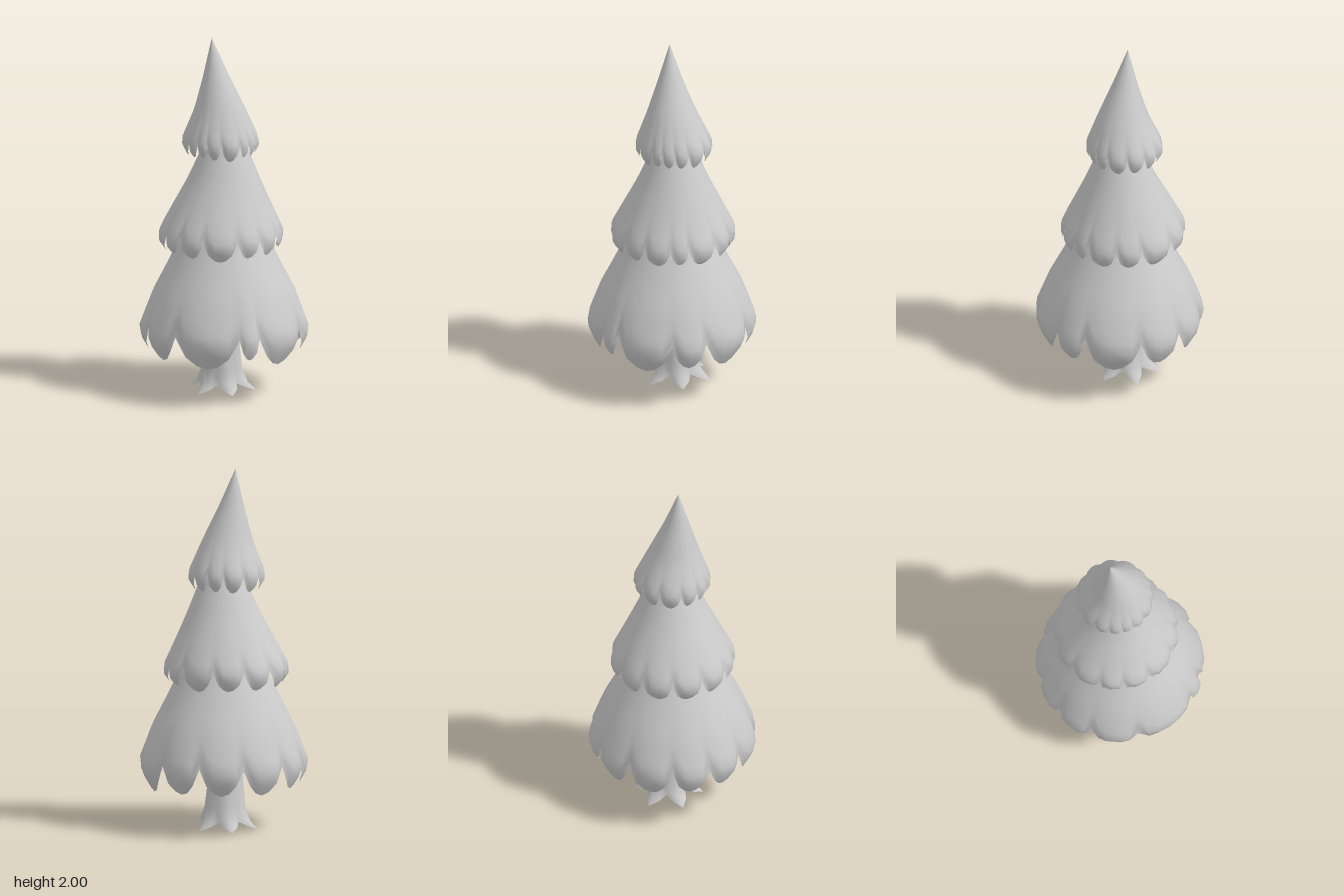
import * as THREE from 'three';

const mat = () => new THREE.MeshStandardMaterial({ color: 0xcccccc, side: THREE.DoubleSide });
const { lerp, degToRad } = THREE.MathUtils;

// Closed-loop surface: point(i, j) gives [x, y, z], rows from top to bottom
function skin(name, cols, rows, point) {
  const pos = [], idx = [];
  for (let j = 0; j <= rows; j++)
    for (let i = 0; i < cols; i++) pos.push(...point(i, j));
  for (let j = 0; j < rows; j++)
    for (let i = 0; i < cols; i++) {
      const n = (i + 1) % cols, a = j * cols, b = a + cols;
      idx.push(a + i, b + i, b + n, a + i, b + n, a + n);
    }
  const geo = new THREE.BufferGeometry();
  geo.setAttribute('position', new THREE.Float32BufferAttribute(pos, 3));
  geo.setIndex(idx);
  geo.computeVertexNormals();
  const mesh = new THREE.Mesh(geo, mat());
  mesh.name = name;
  return mesh;
}

// Piecewise interpolation of rows [y, radius, centreX, centreZ], y descending
function sample(profile, y) {
  let k = 0;
  while (k < profile.length - 2 && y < profile[k + 1][0]) k++;
  const a = profile[k], b = profile[k + 1];
  const t = (y - a[0]) / (b[0] - a[0]);
  return [1, 2, 3].map(c => lerp(a[c], b[c], t));
}

// Skirt of foliage whose hem hangs in lobes between the notch angles (degrees from +z towards +x)
function foliage(name, profile, notches, notchY, depth, dent) {
  const per = 6, rows = 14, n = notches.length, top = profile[0][0];
  const mean = 360 / n;
  return skin(name, n * per, rows, (i, j) => {
    const k = Math.floor(i / per), u = (i % per) / per;
    const a0 = notches[k], a1 = k + 1 < n ? notches[k + 1] : notches[0] + 360;
    const angle = degToRad(lerp(a0, a1, u));
    const lobe = Math.pow(Math.sin(Math.PI * u), 0.7);
    const size = Math.min(1, 0.45 + 0.45 * (a1 - a0) / mean);
    const v = j / rows;
    const y = lerp(top, notchY - depth * size * lobe, v);
    const [r, cx, cz] = sample(profile, y);
    const rr = r * (1 - dent * (1 - lobe) * v ** 5);
    return [cx + rr * Math.sin(angle), y, cz + rr * Math.cos(angle)];
  });
}

export function createModel() {
  const tree = new THREE.Group();
  tree.name = 'pineTree';

  tree.add(foliage('topFoliage', [
    [2, 0, -0.07, 0], [1.78, 0.073, -0.045, 0], [1.6, 0.14, -0.025, -0.005],
    [1.43, 0.212, -0.024, -0.016], [1.39, 0.212, -0.024, -0.016], [1.33, 0.175, -0.024, -0.016],
  ], [-48, -27, -10, 13, 44, 62, 82, 104, 136, 165, 192, 225, 260, 288], 1.42, 0.085, 0.05));

  tree.add(foliage('middleFoliage', [
    [1.52, 0, 0, 0], [1.44, 0.1, 0, -0.01], [1.35, 0.137, 0, -0.01], [1.2, 0.2, -0.005, -0.01],
    [1.03, 0.284, -0.015, -0.01], [0.92, 0.34, -0.02, -0.01],
    [0.86, 0.343, -0.02, -0.01], [0.8, 0.3, -0.02, -0.01],
  ], [-32, -6, 28, 52, 78, 96, 125, 150, 185, 215, 245, 275, 305], 0.91, 0.11, 0.04));

  tree.add(foliage('bottomFoliage', [
    [1.08, 0, 0, 0], [0.98, 0.19, 0, 0], [0.82, 0.265, 0, 0], [0.7, 0.325, 0, 0],
    [0.57, 0.392, 0, 0], [0.38, 0.466, 0, 0], [0.32, 0.458, 0, 0], [0.22, 0.4, 0, 0],
  ], [-26, 23, 38, 81, 106, 148, 180, 212, 245, 272, 300], 0.39, 0.17, 0.05));

  // Trunk: a round stem flaring into six pointed roots
  const trunk = [
    [0.9, 0.06, -0.01, -0.01], [0.5, 0.08, -0.015, -0.015], [0.25, 0.098, -0.02, -0.025],
    [0.12, 0.112, -0.02, -0.033], [0.06, 0.128, -0.02, -0.035], [0.025, 0.15, -0.02, -0.035],
  ];
  tree.add(skin('trunk', 24, trunk.length - 1, (i, j) => {
    const [y, r, cx, cz] = trunk[j];
    const a = i / 24 * Math.PI * 2;
    const tip = 1 - Math.abs((i + 2) % 4 - 2) / 2; // 1 on a root, 0 between roots
    const flare = Math.max(0, j - 2) / 3;
    const rr = r + flare ** 2 * (tip - 0.5) * 0.08;
    const yy = y + flare * (0.5 - tip) * 0.045;
    return [cx + rr * Math.sin(a + Math.PI / 6), Math.max(0, yy), cz + rr * Math.cos(a + Math.PI / 6)];
  }));
  return tree;
}
